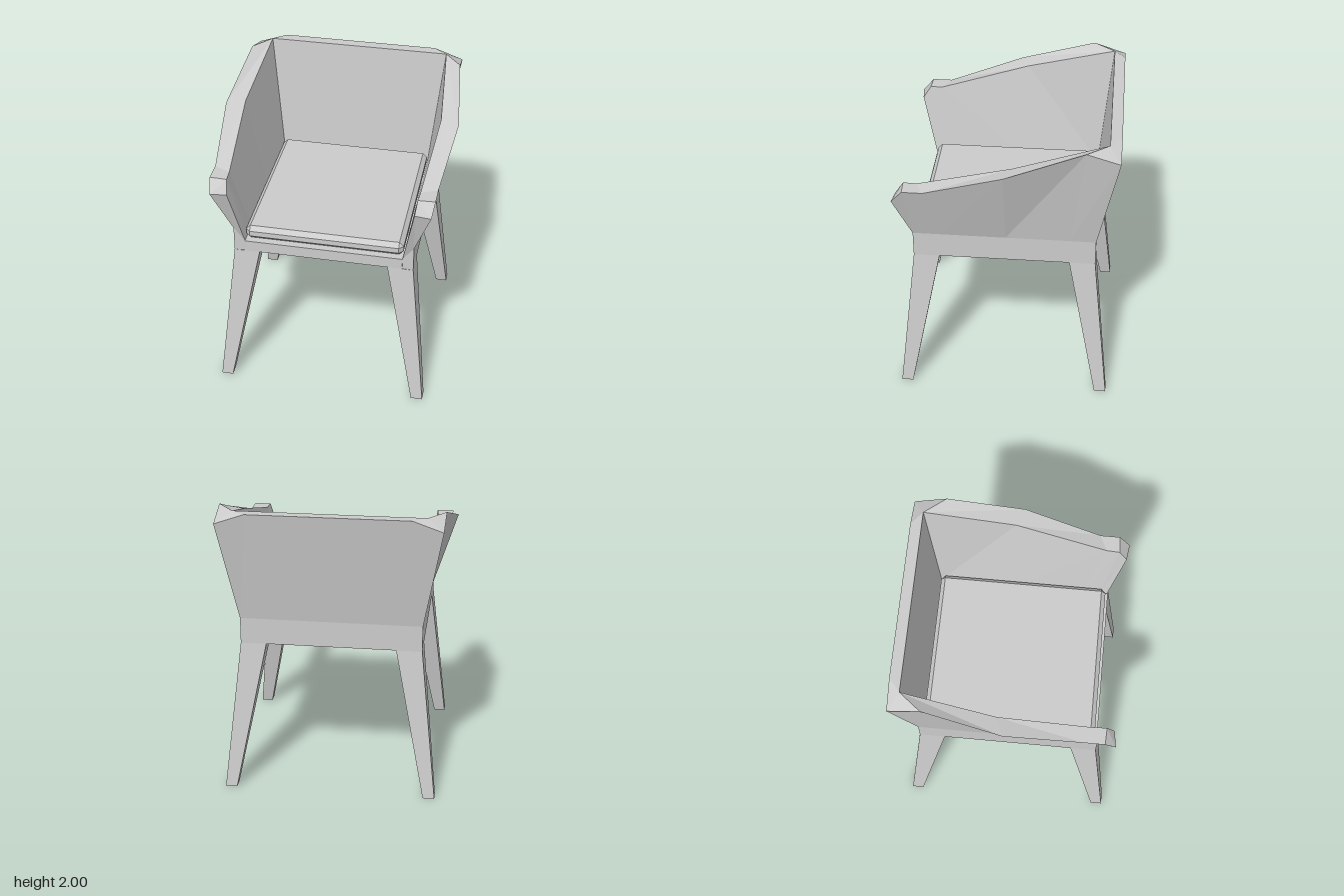
import * as THREE from 'three';
import { ConvexGeometry } from 'three/addons/geometries/ConvexGeometry.js';

const material = new THREE.MeshStandardMaterial({ color: 0xcccccc, flatShading: true });
const CENTER_Z = 0.01;

function part(name, geometry) {
  const mesh = new THREE.Mesh(geometry, material);
  mesh.name = name;
  return mesh;
}

// Splayed leg: a box whose ends are moved to their inner/outer offsets
function leg(sx, sz) {
  const geo = new THREE.BoxGeometry(1, 1, 1);
  const p = geo.attributes.position;
  for (let i = 0; i < p.count; i++) {
    const top = p.getY(i) > 0;
    const [inner, outer] = top ? [0.44, 0.615] : [0.65, 0.73];
    const offset = (coord, s) => s * (coord * s > 0 ? outer : inner);
    p.setXYZ(i, offset(p.getX(i), sx), top ? 1.05 : 0, CENTER_Z + offset(p.getZ(i), sz));
  }
  geo.computeVertexNormals();
  return geo;
}

// Wraparound shell: closed cross-sections swept from one arm front, round the back, to the other
function shell() {
  // [foot x, foot z], outer rim, inner rim, [inner foot x, inner foot z]
  const stations = [
    [[0.615, 0.625], [0.73, 1.56, 0.735], [0.62, 1.56, 0.72], [0.54, 0.62]],
    [[0.615, 0.56], [0.745, 1.645, 0.66], [0.63, 1.645, 0.665], [0.54, 0.56]],
    [[0.615, 0.45], [0.745, 1.645, 0.525], [0.635, 1.645, 0.575], [0.54, 0.45]],
    [[0.615, 0], [0.805, 1.825, 0], [0.68, 1.825, -0.05], [0.54, -0.05]],
    [[0.615, -0.43], [0.745, 2, -0.52], [0.63, 2, -0.665], [0.54, -0.58]],
    [[0.615, -0.605], [0.74, 1.93, -0.74], [0.63, 2, -0.665], [0.54, -0.58]],
    [[0.43, -0.605], [0.54, 2, -0.74], [0.63, 2, -0.665], [0.54, -0.58]],
  ];
  const half = stations.map(([foot, outer, inner, floor]) => [
    [foot[0], 1.05, foot[1]],
    [foot[0], 1.23, foot[1]],
    outer,
    inner,
    [floor[0], 1.13, floor[1]],
    [floor[0], 1.05, floor[1]],
  ].map((v) => new THREE.Vector3(...v)));
  const mirrored = half.map((ring) => ring.map((v) => new THREE.Vector3(-v.x, v.y, v.z))).reverse();
  const rings = [...half, ...mirrored];

  const out = [];
  const tri = (a, b, c) => {
    if (new THREE.Triangle(a, b, c).getArea() > 1e-6) {
      for (const v of [a, b, c]) out.push(v.x, v.y, v.z);
    }
  };
  const n = 6;
  for (let i = 0; i < rings.length - 1; i++) {
    const a = rings[i], b = rings[i + 1];
    for (let j = 0; j < n; j++) {
      const k = (j + 1) % n;
      // Diagonals mirror each other across the middle of the back
      if (i < half.length) {
        tri(a[j], b[j], b[k]);
        tri(a[j], b[k], a[k]);
      } else {
        tri(a[j], b[j], a[k]);
        tri(b[j], b[k], a[k]);
      }
    }
  }
  // Arm front caps, fanned from the bend above the leg
  const first = rings[0], last = rings[rings.length - 1];
  for (let j = 2; j < n; j++) {
    const k = (j + 1) % n;
    tri(first[1], first[j], first[k]);
    tri(last[1], last[k], last[j]);
  }
  const geo = new THREE.BufferGeometry();
  geo.setAttribute('position', new THREE.Float32BufferAttribute(out, 3));
  geo.computeVertexNormals();
  return geo;
}

// Box with every edge cut by a flat chamfer
function chamferedBox(hx, hy, hz, c) {
  const points = [];
  for (const x of [-1, 1]) for (const y of [-1, 1]) for (const z of [-1, 1]) {
    points.push(
      new THREE.Vector3(x * hx, y * (hy - c), z * (hz - c)),
      new THREE.Vector3(x * (hx - c), y * hy, z * (hz - c)),
      new THREE.Vector3(x * (hx - c), y * (hy - c), z * hz),
    );
  }
  return new ConvexGeometry(points);
}

export function createModel() {
  const chair = new THREE.Group();
  chair.name = 'armchair';

  chair.add(part('armAndBackShell', shell()));

  // Seat pan filling the space between the shell walls
  const pan = part('seatPan', new THREE.BoxGeometry(1.08, 0.08, 1.205));
  pan.position.set(0, 1.09, 0.0225);
  chair.add(pan);

  const cushion = part('seatCushion', chamferedBox(0.54, 0.049, 0.59, 0.03));
  cushion.position.set(0, 1.181, 0.015);
  chair.add(cushion);

  for (const [sx, side] of [[1, 'Left'], [-1, 'Right']]) {
    chair.add(part(`front${side}Leg`, leg(sx, 1)));
    chair.add(part(`back${side}Leg`, leg(sx, -1)));
  }
  return chair;
}
